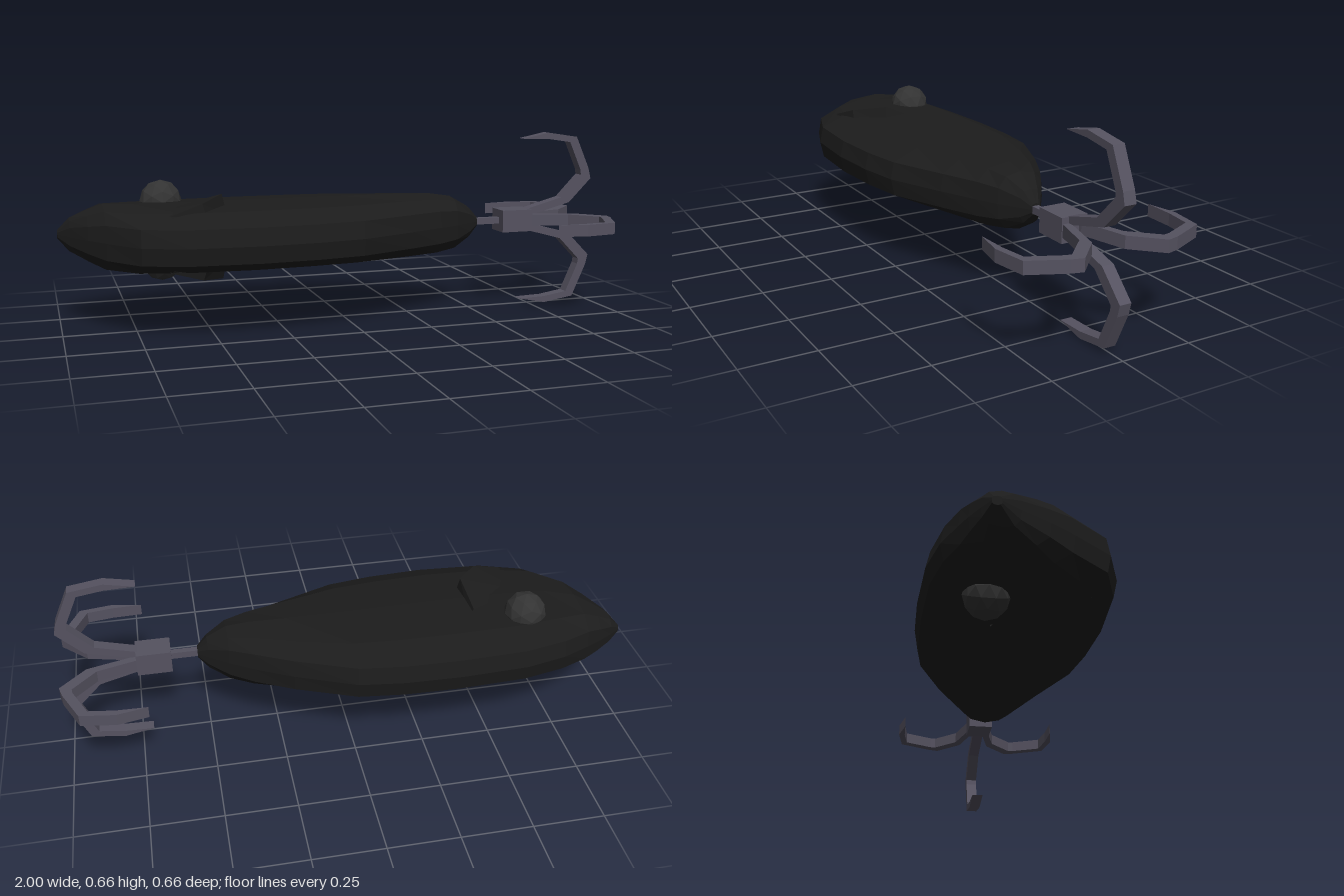
import * as THREE from 'three';

const MID = 0.33; // height of the lure's long axis

const mat = (color, extra = {}) => new THREE.MeshStandardMaterial({ color, flatShading: true, ...extra });

function addMesh(parent, name, geometry, material, x = 0, y = 0, z = 0) {
  const mesh = new THREE.Mesh(geometry, material);
  mesh.name = name;
  mesh.position.set(x, y, z);
  parent.add(mesh);
  return mesh;
}

function buildGeometry(positions, index) {
  const g = new THREE.BufferGeometry();
  g.setAttribute('position', new THREE.Float32BufferAttribute(positions, 3));
  g.setIndex(index);
  g.computeVertexNormals();
  return g;
}

// Flattened fish body lofted along x
function bodyGeometry() {
  // x, back edge z, belly edge z, half thickness
  const sections = [
    [-1, -0.165, -0.135, 0.015], [-0.96, -0.19, -0.075, 0.06], [-0.905, -0.22, 0.02, 0.088],
    [-0.85, -0.245, 0.1, 0.112], [-0.75, -0.287, 0.23, 0.113], [-0.6, -0.32, 0.285, 0.113],
    [-0.36, -0.33, 0.3, 0.114], [-0.16, -0.325, 0.288, 0.114], [0, -0.305, 0.262, 0.114],
    [0.21, -0.215, 0.175, 0.114], [0.34, -0.145, 0.117, 0.112], [0.42, -0.095, 0.08, 0.1],
    [0.49, -0.045, 0.037, 0.06], [0.525, -0.018, 0.016, 0.02],
  ];
  const quarter = [[1, 0], [0.955, 0.53], [0.63, 0.885]];
  const ring = [
    ...quarter, [0, 1],
    ...quarter.slice(1).reverse().map(([u, v]) => [-u, v]),
    ...quarter.map(([u, v]) => [-u, -v]), [0, -1],
    ...quarter.slice(1).reverse().map(([u, v]) => [u, -v]),
  ];
  const n = ring.length, pos = [], idx = [];
  for (const [x, z0, z1, h] of sections) {
    for (const [u, v] of ring) pos.push(x, v * h, (z0 + z1) / 2 + (u * (z1 - z0)) / 2);
  }
  const last = (sections.length - 1) * n;
  for (let i = 0; i < last; i += n) {
    for (let j = 0; j < n; j++) {
      const k = (j + 1) % n, a = i + j, b = i + k;
      idx.push(a, a + n, b, b, a + n, b + n);
    }
  }
  // Nose and tail caps
  for (let j = 1; j < n - 1; j++) {
    idx.push(0, j, j + 1, last, last + j + 1, last + j);
  }
  return buildGeometry(pos, idx);
}

// Gill cover: a sloping plate with a raised rear rim that drops to the body
function gillGeometry() {
  const rim = [[-0.46, 0.118, -0.1], [-0.455, 0.148, 0.06], [-0.54, 0.13, 0.165], [-0.65, 0.095, 0.19]];
  const pos = [-0.68, 0.09, 0.03], idx = [];
  for (const [x, y, z] of rim) pos.push(x, y, z, x + 0.015, 0.08, z + 0.005);
  for (let i = 0; i < rim.length - 1; i++) {
    const a = 1 + i * 2;
    idx.push(0, a + 2, a, a, a + 2, a + 1, a + 1, a + 2, a + 3);
  }
  return buildGeometry(pos, idx);
}

// One barb of the hook, drawn as a flat bent bar and given a square thickness
function hookGeometry() {
  const outline = [
    [0.68, 0.012], [0.75, 0.018], [0.91, 0.06], [1, 0.15], [0.99, 0.19], [0.935, 0.312], [0.815, 0.33],
    [0.71, 0.309], [0.815, 0.306], [0.907, 0.292], [0.955, 0.185], [0.958, 0.165], [0.875, 0.08], [0.72, 0.038],
  ];
  const shape = new THREE.Shape(outline.map(([x, r]) => new THREE.Vector2(x, r)));
  const g = new THREE.ExtrudeGeometry(shape, { depth: 0.042, bevelEnabled: false });
  g.translate(0, 0, -0.021);
  return g;
}

export function createModel() {
  const model = new THREE.Group();
  model.name = 'fishingLure';
  const black = mat(0x1c1c1c);
  const gillBlack = mat(0x1c1c1c, { side: THREE.DoubleSide });
  const eyeGrey = mat(0x333333);
  const metal = mat(0x555260);

  addMesh(model, 'body', bodyGeometry(), black, 0, MID, 0);

  // Eyes and gill covers on both faces
  const eye = new THREE.IcosahedronGeometry(0.075, 1);
  const gill = gillGeometry();
  for (const [side, s] of [['upper', 1], ['lower', -1]]) {
    addMesh(model, side + 'Eye', eye, eyeGrey, -0.64, MID + s * 0.107, -0.135);
    addMesh(model, side + 'GillCover', gill, gillBlack, 0, MID, 0).scale.y = s;
  }

  // Hook assembly at the tail
  const hooks = new THREE.Group();
  hooks.name = 'hookAssembly';
  hooks.position.y = MID;
  model.add(hooks);
  addMesh(hooks, 'shank', new THREE.BoxGeometry(0.13, 0.024, 0.024), metal, 0.565);
  addMesh(hooks, 'hookCollar', new THREE.BoxGeometry(0.122, 0.083, 0.094), metal, 0.679);
  const barb = hookGeometry();
  for (let i = 0; i < 4; i++) {
    addMesh(hooks, 'hook' + (i + 1), barb, metal).rotation.x = (i * Math.PI) / 2;
  }
  return model;
}
